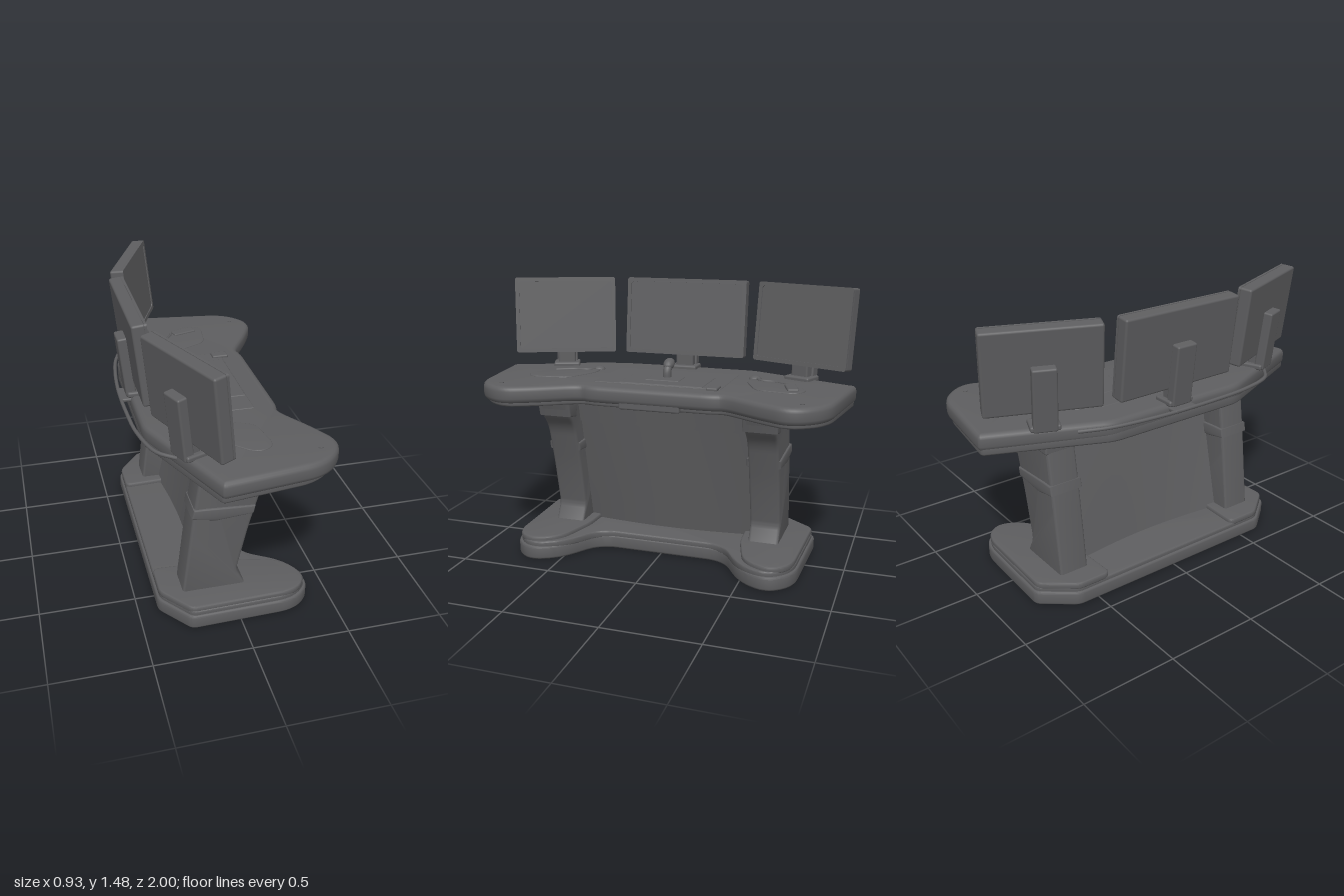
import * as THREE from 'three';
import { toCreasedNormals } from 'three/addons/utils/BufferGeometryUtils.js';
import { RoundedBoxGeometry } from 'three/addons/geometries/RoundedBoxGeometry.js';

const grey = new THREE.MeshStandardMaterial({ color: 0x5e5e60 });
grey.name = 'dark grey';

function add(parent, name, geometry, x = 0, y = 0, z = 0) {
  const mesh = new THREE.Mesh(geometry, grey);
  mesh.name = name;
  mesh.position.set(x, y, z);
  parent.add(mesh);
  return mesh;
}

const box = (w, h, d, r = 0.01) => new RoundedBoxGeometry(w, h, d, 2, r);

// Closed shape from [x, y, cornerRadius] points
function roundedShape(points) {
  const shape = new THREE.Shape();
  const n = points.length;
  points.forEach(([x, y, r = 0], i) => {
    const p = new THREE.Vector2(x, y);
    const toward = (q) => {
      const d = new THREE.Vector2(q[0], q[1]).sub(p);
      return d.setLength(Math.min(r, d.length() * 0.48)).add(p);
    };
    const a = toward(points[(i + n - 1) % n]);
    const b = toward(points[(i + 1) % n]);
    if (i === 0) shape.moveTo(a.x, a.y);
    else shape.lineTo(a.x, a.y);
    if (r > 0) shape.quadraticCurveTo(p.x, p.y, b.x, b.y);
  });
  shape.closePath();
  return shape;
}

// Mirrors a half outline (z > 0) to the other side
const mirrored = (half) => [...half, ...half.map(([x, z, r]) => [x, -z, r]).reverse()];

function extrude(points, depth, bevel) {
  const geometry = new THREE.ExtrudeGeometry(roundedShape(points), {
    depth: depth - 2 * bevel, bevelEnabled: bevel > 0, bevelThickness: bevel,
    bevelSize: bevel, bevelOffset: -bevel, bevelSegments: 3, curveSegments: 8,
  });
  return geometry.translate(0, 0, bevel);
}

// Horizontal slab from an x/z outline, between two heights
function slab(points, bottom, top, bevel) {
  const geometry = extrude(points, top - bottom, bevel).rotateX(Math.PI / 2);
  geometry.translate(0, top, 0);
  return toCreasedNormals(geometry, 0.6);
}

// Upright prism from an x/y profile, centred on z = 0
function prism(points, depth, bevel) {
  const geometry = extrude(points, depth, bevel).translate(0, 0, -depth / 2);
  return toCreasedNormals(geometry, 0.6);
}

// Leaning panel whose foot bows forward in the middle
function bowedPanel(bottom, top, width, thickness, offset) {
  const geometry = new THREE.BoxGeometry(thickness, top - bottom, width, 1, 6, 16);
  geometry.translate(0, (top + bottom) / 2, 0);
  const p = geometry.attributes.position;
  for (let i = 0; i < p.count; i++) {
    const y = p.getY(i);
    const bow = 0.05 * Math.cos((p.getZ(i) / width) * Math.PI) * (0.87 - y);
    p.setX(i, p.getX(i) + offset + 0.23 * (y - 0.1) + bow);
  }
  return toCreasedNormals(geometry, 0.6);
}

// Monitor facing +x, with bezel, rear arm and neck
function monitor(name, width, x, z, yaw) {
  const group = new THREE.Group();
  group.name = name;
  const h = 0.43;
  const tilted = new THREE.Group();
  tilted.name = 'monitorHead';
  tilted.rotation.z = 0.11;
  group.add(tilted);
  add(tilted, 'monitorBody', box(0.07, h, width, 0.012), -0.005);

  const rect = (w, t) => [[-w, -t, 0.015], [w, -t, 0.015], [w, t, 0.015], [-w, t, 0.015]];
  const frame = roundedShape(rect(width / 2, h / 2));
  frame.holes.push(roundedShape(rect(width / 2 - 0.022, h / 2 - 0.022).reverse()));
  const bezel = new THREE.ExtrudeGeometry(frame, { depth: 0.012, bevelEnabled: false });
  add(tilted, 'bezel', bezel.rotateY(Math.PI / 2), 0.024);

  add(tilted, 'rearArm', box(0.055, 0.33, 0.12), -0.06, -0.13);
  add(group, 'neck', box(0.07, 0.12, 0.1), 0.005, -0.25);
  add(group, 'neckBase', box(0.12, 0.03, 0.15), 0.01, -0.285);
  group.position.set(x, 1.265, z);
  group.rotation.y = yaw;
  return group;
}

export function createModel() {
  const model = new THREE.Group();
  model.name = 'controlDesk';

  // Floor base with two forward lobes
  const base = mirrored([
    [-0.4, 0.62, 0.03], [-0.26, 0.8, 0.03], [0.3, 0.785, 0.1],
    [0.41, 0.66, 0.1], [0.33, 0.5, 0.1], [0.1, 0.36, 0.1],
  ]);
  add(model, 'basePlate', slab(base, 0, 0.075, 0.012));
  const inset = base.map(([x, z, r]) => [x * 0.97, z * 0.985, r]);
  add(model, 'baseTop', slab(inset, 0.06, 0.1, 0.008));

  // Worktop with a set-back front underside
  const top = mirrored([
    [-0.41, 0.4, 0.05], [-0.16, 1, 0.02], [0.36, 0.932, 0.11],
    [0.487, 0.765, 0.12], [0.4, 0.59, 0.06], [0.28, 0.39, 0.08], [0.3, 0.33, 0.05],
  ]);
  add(model, 'worktop', slab(top, 0.885, 0.975, 0.026));
  const under = top.map(([x, z, r]) => [x > 0 ? x - 0.035 : x, z * 0.99, r]);
  add(model, 'worktopUnderside', slab(under, 0.863, 0.92, 0.01));
  add(model, 'frontLip', box(0.06, 0.05, 0.33), 0.265, 0.887, 0);

  // Centre panel with a thicker head rail
  add(model, 'centrePanel', bowedPanel(0.09, 0.87, 1, 0.08, -0.14));
  add(model, 'panelRail', bowedPanel(0.72, 0.87, 0.98, 0.04, -0.105));

  for (const s of [1, -1]) {
    const side = new THREE.Group();
    side.name = s > 0 ? 'leftSide' : 'rightSide';
    model.add(side);

    // Raised foot pad
    const pad = [
      [-0.39, 0.61, 0.03], [-0.255, 0.785, 0.03], [0.3, 0.77, 0.1],
      [0.385, 0.66, 0.1], [0.3, 0.51, 0.08], [0.05, 0.44, 0.05], [-0.39, 0.42, 0.04],
    ].map(([x, z, r]) => [x, s * z, r]);
    add(side, 'footPad', slab(pad, 0.085, 0.122, 0.01));

    // Leg, collar and brackets
    add(side, 'leg', prism([
      [-0.275, 0.1], [0.065, 0.1], [0.01, 0.21, 0.03], [0.07, 0.47, 0.05], [0.135, 0.7, 0.06],
      [0.21, 0.78, 0.03], [0.24, 0.88], [-0.17, 0.88], [-0.22, 0.55, 0.1],
    ], 0.165, 0.015), 0, 0, s * 0.567);
    add(side, 'legCollar', prism(
      [[-0.225, 0.565], [-0.1, 0.54], [0.09, 0.555], [0.1, 0.6], [-0.15, 0.615], [-0.215, 0.615]],
      0.185, 0.008), 0, 0, s * 0.567);
    add(side, 'rearBracket', box(0.08, 0.1, 0.18), -0.145, 0.825, s * 0.567);
    add(side, 'frontBracket', prism(
      [[0.13, 0.76], [0.21, 0.775], [0.235, 0.87], [0.1, 0.87]], 0.185, 0.01), 0, 0, s * 0.567);

    // Wing monitor turned towards the middle
    side.add(monitor('wingMonitor', 0.575, -0.252, s * 0.697, s * 0.38));

    // Raised wing console with a handset
    const console_ = [
      [-0.17, 0.44, 0.05], [-0.06, 0.43, 0.05], [0.13, 0.52, 0.05],
      [0.16, 0.74, 0.06], [0.06, 0.78, 0.06], [-0.06, 0.66, 0.06],
    ].map(([x, z, r]) => [x, s * z, r]);
    add(side, 'wingConsole', slab(console_, 0.965, 0.98, 0.004));
    const cord = new THREE.CatmullRomCurve3([
      [-0.16, 0.46], [-0.1, 0.5], [-0.09, 0.58], [-0.04, 0.67],
    ].map(([x, z]) => new THREE.Vector3(x, 0.98, s * z)));
    add(side, 'cord', new THREE.TubeGeometry(cord, 16, 0.008, 6));
    add(side, 'cornerKnob', new THREE.SphereGeometry(0.035, 14, 8).scale(1, 0.6, 1), -0.16, 0.973, s * 0.455);
    add(side, 'edgeStud', new THREE.CylinderGeometry(0.012, 0.012, 0.008, 10), 0.36, 0.975, s * 0.8);
  }

  // Folded grip on the right wing only
  add(model, 'foldedGrip', box(0.14, 0.02, 0.06, 0.008), 0.04, 0.98, -0.69).rotation.y = 0.3;

  // Middle monitor
  model.add(monitor('middleMonitor', 0.7, -0.375, 0, 0));

  // Middle console plates
  add(model, 'consolePlate', box(0.41, 0.014, 0.7, 0.006), -0.03, 0.971, 0);
  add(model, 'controlPlate', box(0.27, 0.014, 0.46, 0.006), 0.035, 0.975, -0.02);
  add(model, 'stickPlate', box(0.13, 0.014, 0.19, 0.006), 0.015, 0.979, 0);
  add(model, 'sideSwitch', box(0.09, 0.024, 0.06, 0.008), 0.165, 0.978, -0.31);

  // Control stick with a drooping grip
  const stick = new THREE.CatmullRomCurve3([
    new THREE.Vector3(-0.015, 0.97, 0), new THREE.Vector3(-0.02, 1.02, 0), new THREE.Vector3(-0.05, 1.05, 0),
  ]);
  add(model, 'stickShaft', new THREE.TubeGeometry(stick, 10, 0.024, 10));
  add(model, 'stickGrip', new THREE.SphereGeometry(0.034, 14, 10).scale(1.35, 0.85, 0.9), -0.05, 1.05, 0).rotation.z = -0.35;

  // Rear rail, reaching further round on the left
  const rail = new THREE.CatmullRomCurve3([
    [-0.3, 0.7], [-0.385, 0.62], [-0.44, 0.42], [-0.455, 0.2], [-0.455, -0.07],
    [-0.435, -0.3], [-0.41, -0.44], [-0.36, -0.58],
  ].map(([x, z]) => new THREE.Vector3(x, 0.952, z)));
  add(model, 'rearRail', new THREE.TubeGeometry(rail, 48, 0.01, 8));
  add(model, 'railMount', box(0.08, 0.02, 0.14, 0.008), -0.425, 0.952, 0);

  return model;
}
